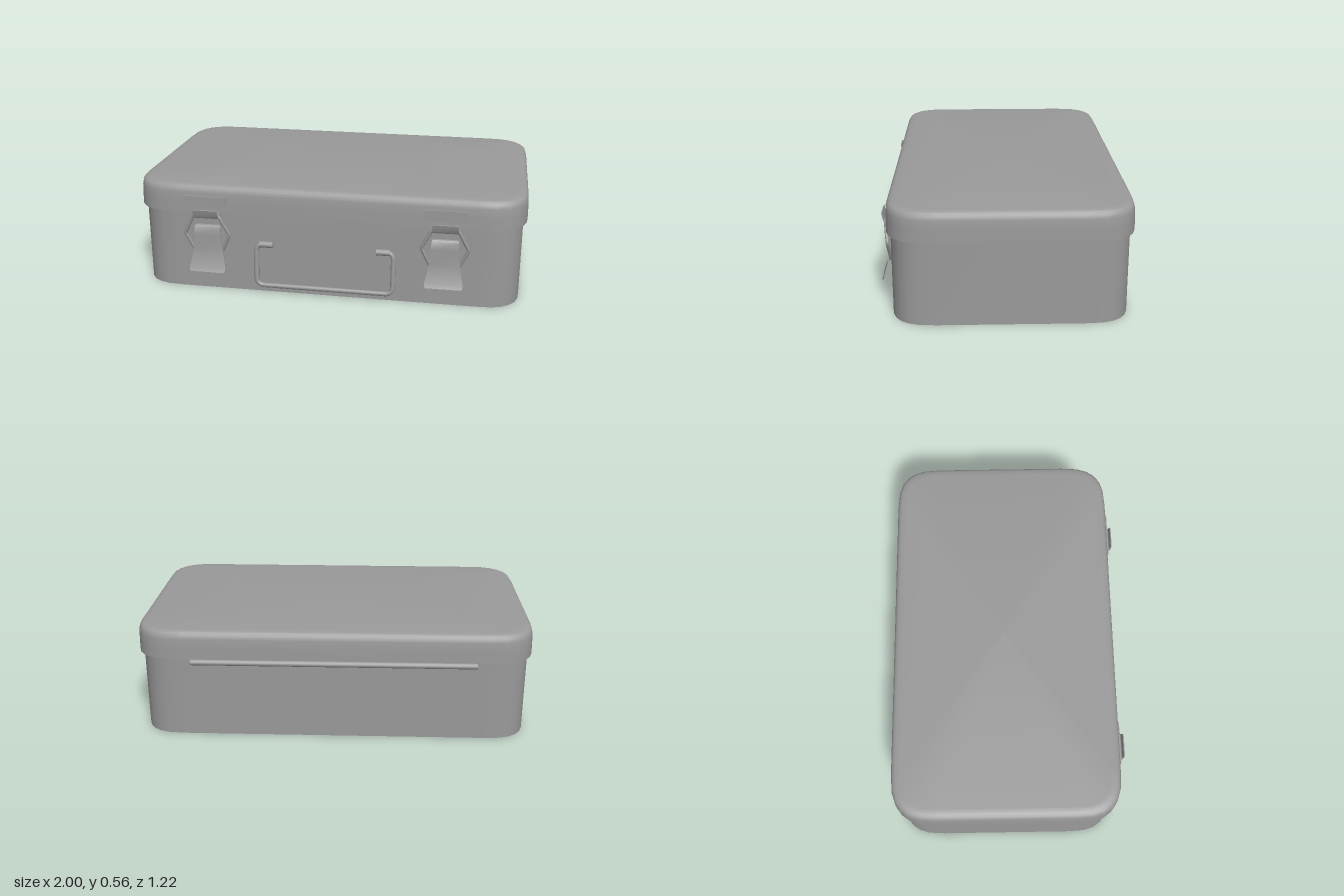
import * as THREE from 'three';
import { toCreasedNormals } from 'three/addons/utils/BufferGeometryUtils.js';

const material = new THREE.MeshStandardMaterial({ color: 0x9a9a9a });
const V = (x, y, z) => new THREE.Vector3(x, y, z);

function part(name, geometry, parent) {
  const mesh = new THREE.Mesh(geometry, material);
  mesh.name = name;
  parent.add(mesh);
  return mesh;
}

// Closed shell with softly squared corners; profile is a list of [inset, y] from bottom to top
function roundedShell(halfX, halfZ, radius, profile) {
  const pos = [], idx = [], steps = 6, n = 4 * (steps + 1);
  const soften = v => Math.sign(v) * Math.abs(v) ** (2 / 2.8);
  for (const [inset, y] of profile) {
    for (let c = 0; c < 4; c++) {
      const sx = c === 0 || c === 3 ? 1 : -1, sz = c < 2 ? 1 : -1;
      for (let s = 0; s <= steps; s++) {
        const a = (c + s / steps) * Math.PI / 2, r = radius - inset;
        pos.push(
          sx * (halfX - radius) + r * soften(Math.cos(a)), y,
          sz * (halfZ - radius) + r * soften(Math.sin(a)));
      }
    }
  }
  const rings = profile.length, last = (rings - 1) * n, bottom = rings * n;
  pos.push(0, profile[0][1], 0, 0, profile[rings - 1][1], 0);
  for (let i = 0; i < n; i++) {
    const j = (i + 1) % n;
    for (let r = 0; r < rings - 1; r++) {
      const a = r * n + i, b = r * n + j;
      idx.push(a, a + n, b, b, a + n, b + n);
    }
    idx.push(bottom, i, j, bottom + 1, last + j, last + i);
  }
  const geo = new THREE.BufferGeometry();
  geo.setAttribute('position', new THREE.Float32BufferAttribute(pos, 3));
  geo.setIndex(idx);
  return toCreasedNormals(geo, 0.6);
}

// Bent sheet metal; profile is a list of [z, y, halfWidth] along its length
function bentSheet(profile, thickness) {
  const n = profile.length - 1;
  const geo = new THREE.BoxGeometry(2, 1, 1, 1, n, 1), p = geo.attributes.position;
  for (let v = 0; v < p.count; v++) {
    const i = Math.round((0.5 - p.getY(v)) * n);
    const a = profile[Math.max(i - 1, 0)], b = profile[Math.min(i + 1, n)];
    const dz = b[0] - a[0], dy = b[1] - a[1], len = Math.hypot(dz, dy);
    const off = p.getZ(v) * thickness, [z, y, w] = profile[i];
    p.setXYZ(v, p.getX(v) * w, y + off * dz / len, z - off * dy / len);
  }
  return toCreasedNormals(geo, 0.7);
}

// Bent wire through points with rounded corners
function bentWire(points, radius, bend) {
  const path = new THREE.CurvePath();
  let from = points[0];
  for (let i = 1; i < points.length - 1; i++) {
    const p = points[i];
    const a = p.clone().add(points[i - 1].clone().sub(p).setLength(bend));
    const b = p.clone().add(points[i + 1].clone().sub(p).setLength(bend));
    path.add(new THREE.LineCurve3(from, a));
    path.add(new THREE.QuadraticBezierCurve3(a, p, b));
    from = b;
  }
  path.add(new THREE.LineCurve3(from, points[points.length - 1]));
  return new THREE.TubeGeometry(path, 120, radius, 10, false);
}

function rod(radius, length) {
  return new THREE.CylinderGeometry(radius, radius, length, 14).rotateZ(Math.PI / 2);
}

function makeLatch() {
  const latch = new THREE.Group();
  // Catch: plate on the lid and a strip curling forward into a hook
  part('catchPlate', new THREE.BoxGeometry(0.21, 0.055, 0.012), latch).position.set(0, 0.48, 0.569);
  part('catchHook', bentSheet([
    [0.572, 0.455, 0.067], [0.573, 0.425, 0.067], [0.575, 0.408, 0.067], [0.581, 0.4, 0.067],
    [0.588, 0.4, 0.067], [0.594, 0.41, 0.067], [0.602, 0.444, 0.06],
  ], 0.005), latch);
  // Six-sided wire bail from the lever pivot to the hook
  const corner = (x, y) => V(x, y, 0.564 + (y - 0.21) * 0.1);
  part('wireBail', bentWire([
    corner(0, 0.212), corner(0.07, 0.212), corner(0.117, 0.31), corner(0.066, 0.41),
    corner(-0.066, 0.41), corner(-0.117, 0.31), corner(-0.07, 0.212), corner(0, 0.212),
  ], 0.0085, 0.012), latch);
  // Lever mount, drawn in side view and extruded across
  const side = new THREE.Shape([
    [0.545, 0.2], [0.563, 0.2], [0.571, 0.22], [0.57, 0.335], [0.562, 0.347], [0.545, 0.35],
  ].map(([z, y]) => new THREE.Vector2(z, y)));
  part('leverMount', new THREE.ExtrudeGeometry(side, { depth: 0.12, bevelEnabled: false })
    .rotateY(-Math.PI / 2).translate(0.06, 0, 0), latch);
  // Lever with a flared, curled finger tab
  part('lever', bentSheet([
    [0.552, 0.35, 0.062], [0.563, 0.349, 0.065], [0.57, 0.34, 0.067], [0.572, 0.3, 0.07],
    [0.574, 0.22, 0.078], [0.579, 0.19, 0.083], [0.587, 0.16, 0.089], [0.597, 0.13, 0.095],
    [0.602, 0.118, 0.096], [0.607, 0.108, 0.089],
  ], 0.006), latch);
  return latch;
}

export function createModel() {
  const model = new THREE.Group();
  model.name = 'toolCase';

  // Body and lid
  part('body', roundedShell(0.98, 0.565, 0.22, [[0, 0], [0, 0.43]]), model).position.z = -0.015;
  part('lid', roundedShell(1, 0.585, 0.24, [
    [0, 0.42], [0.001, 0.48], [0.003, 0.525], [0.007, 0.545], [0.015, 0.556], [0.028, 0.562], [0.055, 0.565],
  ]), model).position.z = -0.015;

  // Rear hinge
  part('hinge', rod(0.015, 1.42), model).position.set(0, 0.403, -0.595);

  // Pair of front latches
  for (const side of [-1, 1]) {
    const latch = makeLatch();
    latch.name = side > 0 ? 'leftLatch' : 'rightLatch';
    latch.position.x = side * 0.605;
    model.add(latch);
  }

  // Drop handle with a sleeve at each end
  const handle = new THREE.Group();
  handle.name = 'handle';
  model.add(handle);
  part('handleWire', bentWire([
    V(-0.27, 0.266, 0.56), V(-0.351, 0.266, 0.56), V(-0.351, 0.047, 0.579),
    V(0.351, 0.047, 0.579), V(0.351, 0.266, 0.56), V(0.27, 0.266, 0.56),
  ], 0.012, 0.04), handle);
  for (const side of [-1, 1]) {
    part('handleSleeve', rod(0.016, 0.07), handle).position.set(side * 0.3, 0.264, 0.56);
  }
  return model;
}
